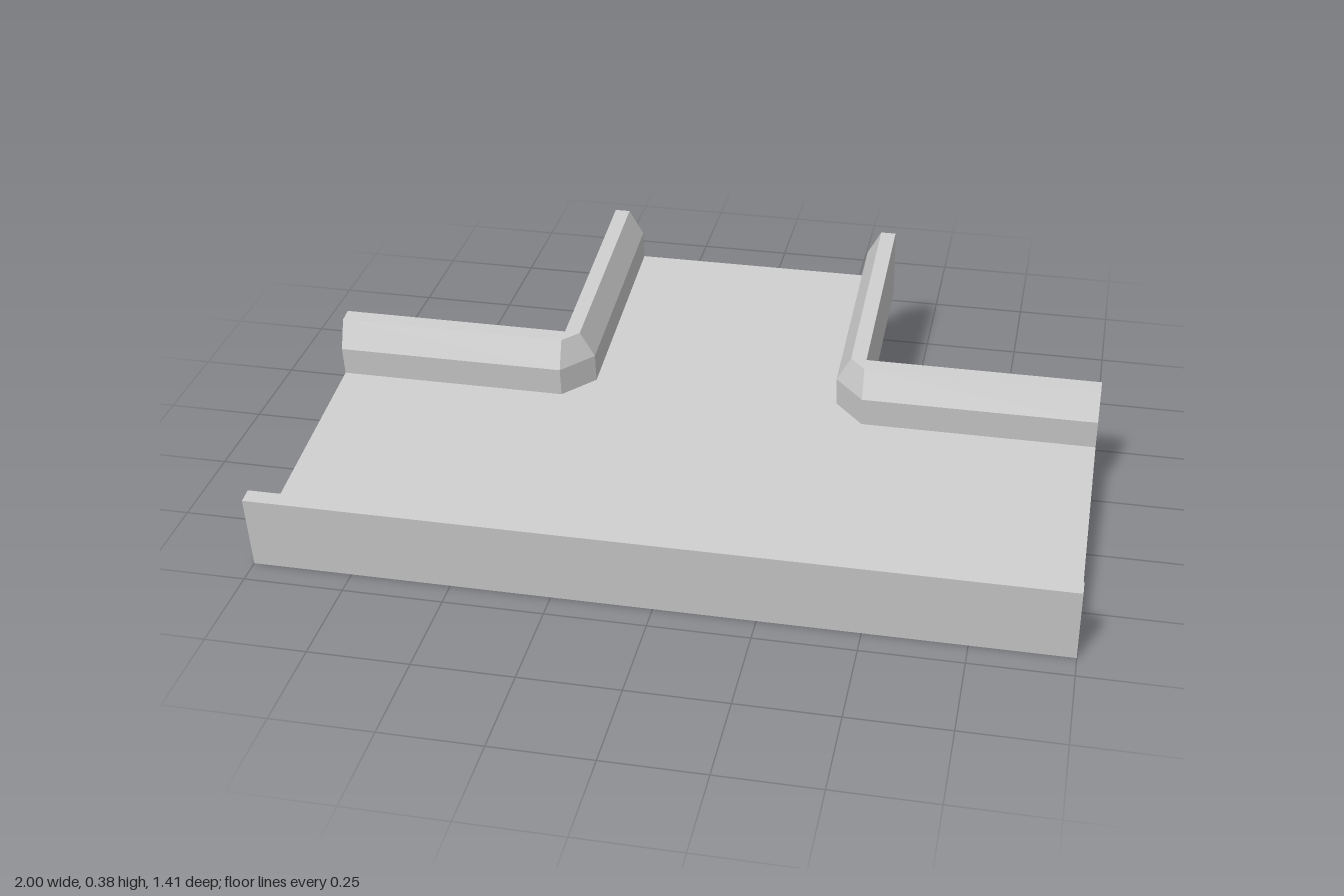
import * as THREE from 'three';

const FLOOR = 0.05;
const TILT = Math.atan2(0.178, 1.385);
const material = new THREE.MeshStandardMaterial({ color: 0xcccccc, flatShading: true });

// Wall cross-section: [distance inward from the outer face, height]
const PROFILE = [[0, FLOOR], [0, 0.2], [0.04, 0.2], [0.077, 0.129], [0.077, FLOOR]];

// Sweeps the wall section along stations [x, u, inwardX, inwardU]; u runs from front to back
function sweepWall(name, stations) {
  const rings = stations.map(([x, u, dx, du]) =>
    PROFILE.map(([d, h]) => new THREE.Vector3(x + dx * d, h, -(u + du * d))));
  const positions = [];
  const tri = (a, b, c) => {
    if (new THREE.Triangle(a, b, c).getArea() < 1e-7) return;
    for (const p of [a, b, c]) positions.push(p.x, p.y, p.z);
  };
  for (let i = 0; i < rings.length - 1; i++) {
    const r = rings[i], s = rings[i + 1];
    for (let j = 0; j < PROFILE.length - 1; j++) {
      tri(r[j], r[j + 1], s[j + 1]);
      tri(r[j], s[j + 1], s[j]);
    }
  }
  // End caps
  const first = rings[0], last = rings[rings.length - 1];
  for (let k = 1; k < PROFILE.length - 1; k++) {
    tri(first[0], first[k + 1], first[k]);
    tri(last[0], last[k], last[k + 1]);
  }
  const geometry = new THREE.BufferGeometry();
  geometry.setAttribute('position', new THREE.Float32BufferAttribute(positions, 3));
  geometry.computeVertexNormals();
  const mesh = new THREE.Mesh(geometry, material);
  mesh.name = name;
  return mesh;
}

export function createModel() {
  const model = new THREE.Group();
  model.name = 'teeJunctionTray';

  // Everything is built flat, then tilted up towards the back
  const tray = new THREE.Group();
  tray.name = 'tiltedTray';
  tray.rotation.x = TILT;
  tray.position.z = 0.6815;
  model.add(tray);

  // T-shaped floor
  const outline = [[-1, 0], [1, 0], [1, 0.8], [0.4, 0.8], [0.4, 1.4], [-0.4, 1.4], [-0.4, 0.8], [-1, 0.8]];
  const floorShape = new THREE.Shape(outline.map(([x, u]) => new THREE.Vector2(x, u)));
  const floorGeometry = new THREE.ExtrudeGeometry(floorShape, { depth: FLOOR, bevelEnabled: false });
  floorGeometry.rotateX(-Math.PI / 2);
  const floor = new THREE.Mesh(floorGeometry, material);
  floor.name = 'floor';
  tray.add(floor);

  // Straight wall along the front
  tray.add(sweepWall('frontWall', [[1, 0, 0, 1], [-1, 0, 0, 1]]));

  // Corner walls: along the branch, round a chamfered corner, out along the back
  const corner = [[0.4, 1.4, -1, 0], [0.4, 0.8, -1, 0], [0.4, 0.8, 0, -1], [1, 0.8, 0, -1]];
  const mirrored = corner.map(([x, u, dx, du]) => [-x, u, -dx, du]).reverse();
  tray.add(sweepWall('leftCornerWall', corner));
  tray.add(sweepWall('rightCornerWall', mirrored));

  return model;
}
